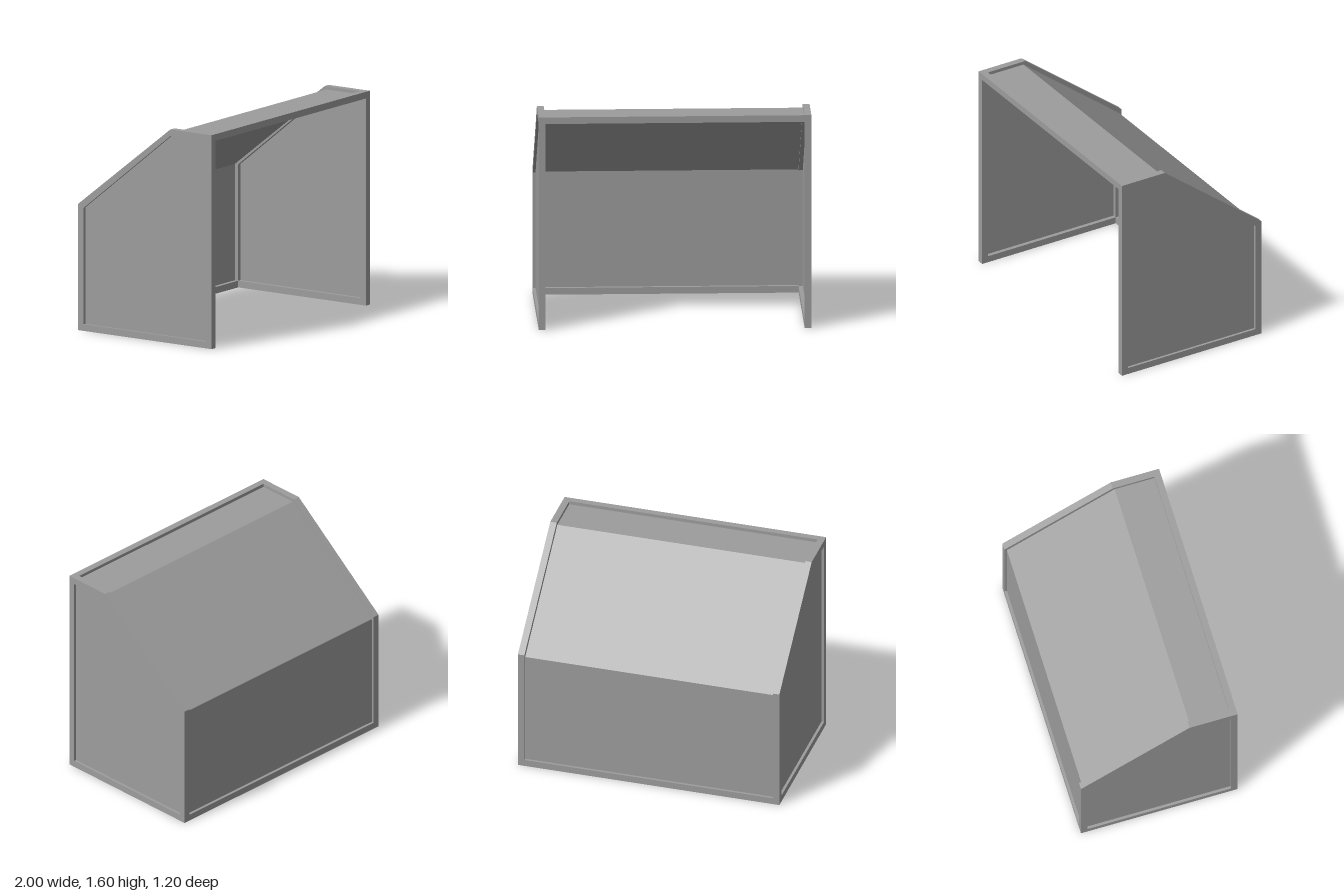
import * as THREE from 'three';

const GREY = 0x9d9d9d;
const frameMaterial = new THREE.MeshStandardMaterial({ color: GREY });
const sheetMaterial = new THREE.MeshStandardMaterial({ color: GREY, side: THREE.DoubleSide });

const HALF_WIDTH = 1;
const BAR = 0.05; // frame thickness
const INSET = 0.02; // how far the sheets sit behind the frame faces

// Side outlines as [z, y], counter-clockwise once z is flipped
const OUTER = [[0.6, 0], [-0.6, 0], [-0.6, 0.945], [0.23, 1.6], [0.6, 1.6]];
const INNER = [[0.55, 0.05], [-0.55, 0.05], [-0.55, 0.92], [0.23, 1.55], [0.55, 1.55]];

// Section of the rear, sloping and top sheets as [z, y]
const COVER = [[INSET - 0.6, BAR], [INSET - 0.6, 0.92], [0.245, 1.575], [0.55, 1.575]];

const toPoints = (outline) => outline.map(([z, y]) => new THREE.Vector2(-z, y));

function addMesh(parent, name, geometry, material) {
  const mesh = new THREE.Mesh(geometry, material);
  mesh.name = name;
  parent.add(mesh);
  return mesh;
}

// Five-sided frame with a thin sheet set into it
function createSide(name, sign) {
  const side = new THREE.Group();
  side.name = name;

  const shape = new THREE.Shape(toPoints(OUTER));
  shape.holes.push(new THREE.Path(toPoints(INNER)));
  const frame = new THREE.ExtrudeGeometry(shape, { depth: BAR, bevelEnabled: false });
  frame.rotateY(Math.PI / 2);
  frame.translate(sign > 0 ? HALF_WIDTH - BAR : -HALF_WIDTH, 0, 0);
  addMesh(side, 'sideFrame', frame, frameMaterial);

  const sheet = new THREE.ShapeGeometry(new THREE.Shape(toPoints(INNER)));
  sheet.rotateY(Math.PI / 2);
  sheet.translate(sign * (HALF_WIDTH - INSET), 0, 0);
  addMesh(side, 'sideSheet', sheet, sheetMaterial);
  return side;
}

export function createModel() {
  const model = new THREE.Group();
  model.name = 'shelter';
  const span = 2 * (HALF_WIDTH - BAR);

  // Two mirrored sides
  model.add(createSide('leftSide', 1), createSide('rightSide', -1));

  // Rails joining the sides: upper front and lower rear
  const rails = [['frontTopRail', 1.575, 0.575], ['rearBottomRail', 0.025, -0.575]];
  for (const [name, y, z] of rails) {
    addMesh(model, name, new THREE.BoxGeometry(span, BAR, BAR), frameMaterial).position.set(0, y, z);
  }

  // Rear wall, sloping roof and flat top, one flat sheet per segment
  ['rearSheet', 'slopingRoofSheet', 'topSheet'].forEach((name, i) => {
    const [z0, y0] = COVER[i];
    const [z1, y1] = COVER[i + 1];
    const length = Math.hypot(z1 - z0, y1 - y0);
    const sheet = addMesh(model, name, new THREE.PlaneGeometry(span, length), sheetMaterial);
    sheet.rotation.x = Math.atan2(z1 - z0, y1 - y0);
    sheet.position.set(0, (y0 + y1) / 2, (z0 + z1) / 2);
  });

  return model;
}
